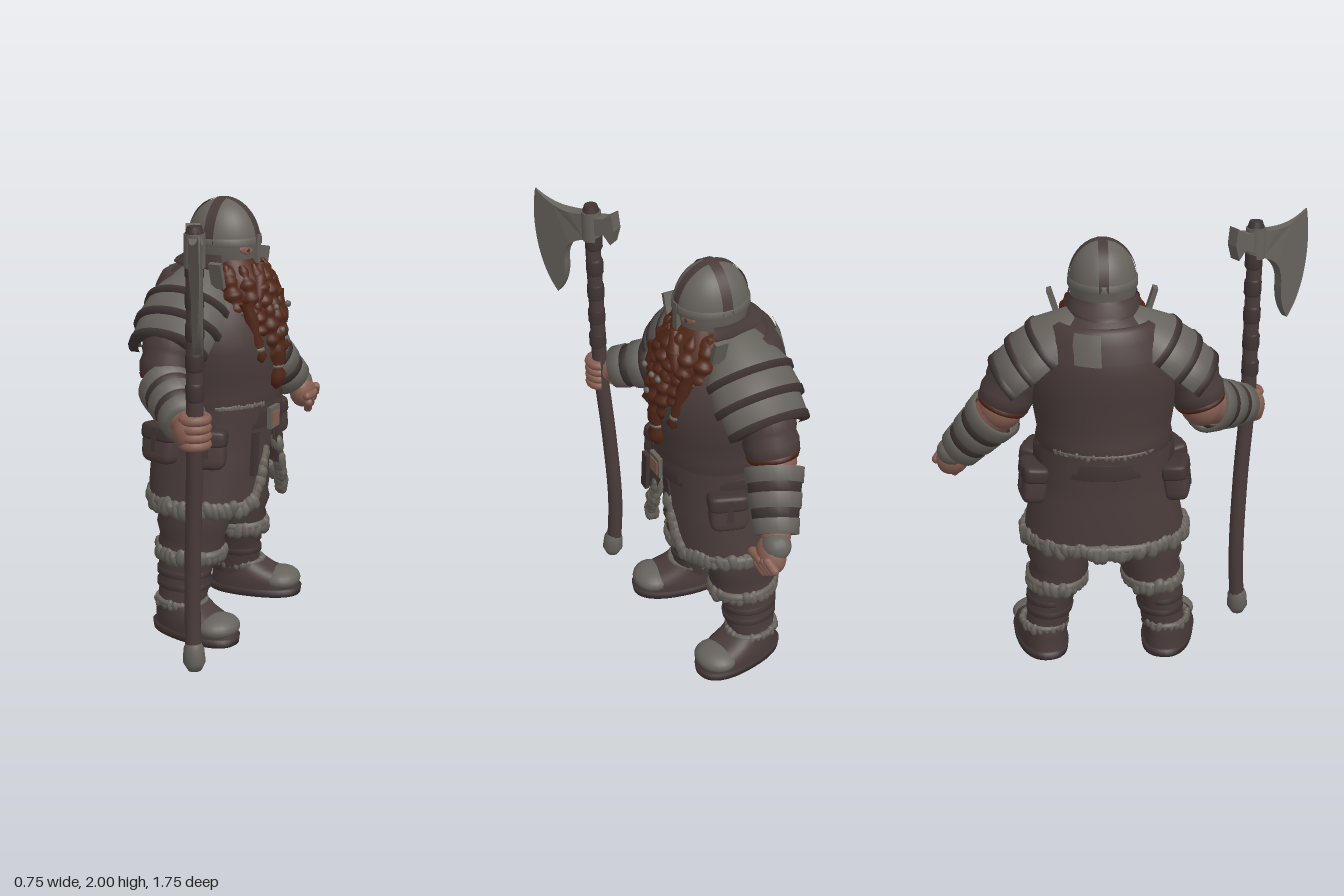
import * as THREE from 'three';
import { mergeGeometries } from 'three/addons/utils/BufferGeometryUtils.js';

const mat = (name, color) => new THREE.MeshStandardMaterial({ name, color, side: THREE.DoubleSide });
const V = (x, y, z) => new THREE.Vector3(x, y, z);
const UP = V(0, 1, 0);

export function createModel() {
  const leather = mat('leather', 0x493c3a), dark = mat('dark leather', 0x403434);
  const metal = mat('metal', 0x66625c), fur = mat('fur', 0x67625a);
  const red = mat('red hair', 0x502718), skin = mat('skin', 0x865e52);

  const root = new THREE.Group();
  root.name = 'axeWarrior';
  const facing = new THREE.Group(); // the warrior looks along +x
  facing.name = 'figure';
  facing.rotation.y = Math.PI / 2;
  facing.position.z = -0.08;
  root.add(facing);

  let seed = 7;
  const rnd = () => (seed = (seed * 16807) % 2147483647) / 2147483647;
  const add = (name, geo, m, parent = facing) => {
    const mesh = new THREE.Mesh(geo, m);
    mesh.name = name;
    parent.add(mesh);
    return mesh;
  };
  const box = (name, m, x, y, z, w, h, d) => {
    const b = add(name, new THREE.BoxGeometry(w, h, d), m);
    b.position.set(x, y, z);
    return b;
  };
  const ball = (name, m, x, y, z, a, b = a, c = a) => {
    const s = add(name, new THREE.SphereGeometry(1, 20, 14), m);
    s.position.set(x, y, z);
    s.scale.set(a, b, c);
    return s;
  };
  // Skin over level elliptical rings [y, rx, rz, cx, cz, frontGap], bottom to top
  const loft = (name, m, rings, power = 1, n = 40) => {
    const pos = [], idx = [], closed = !rings.some(r => r[5]);
    const w = closed ? n : n + 1;
    const sp = v => Math.sign(v) * Math.abs(v) ** power;
    for (const [y, rx, rz, cx = 0, cz = 0, gap = 0] of rings)
      for (let j = 0; j < w; j++) {
        const a = gap + (j / n) * (Math.PI * 2 - 2 * gap);
        pos.push(cx + rx * sp(Math.sin(a)), y, cz + rz * sp(Math.cos(a)));
      }
    for (let i = 0; i + 1 < rings.length; i++)
      for (let j = 0; j < n; j++) {
        const a = i * w + j, b = i * w + (j + 1) % w;
        idx.push(a, b, a + w, b, b + w, a + w);
      }
    const g = new THREE.BufferGeometry();
    g.setAttribute('position', new THREE.Float32BufferAttribute(pos, 3));
    g.setIndex(idx);
    g.computeVertexNormals();
    return add(name, g, m);
  };
  // Turned shape along a -> b from a profile of [t, radius]
  const turned = (name, m, a, b, profile, squash = 1, start = 0, arc = Math.PI * 2) => {
    const d = b.clone().sub(a), L = d.length();
    const g = new THREE.LatheGeometry(profile.map(([t, r]) => new THREE.Vector2(r, t * L)), 24, start, arc);
    const mesh = add(name, g, m);
    mesh.position.copy(a);
    mesh.quaternion.setFromUnitVectors(UP, d.normalize());
    mesh.scale.z = squash;
    return mesh;
  };
  const band = (name, m, a, b, t0, t1, r0, r1, ...rest) =>
    turned(name, m, a, b, [[t0, r0 - 0.02], [t0, r0], [t1, r1], [t1, r1 - 0.04]], ...rest);
  // Shaggy fur: a roll covered in drooping clumps
  const furTrim = (name, pts, r, n, closed = true) => {
    const curve = new THREE.CatmullRomCurve3(pts, closed);
    const parts = [new THREE.TubeGeometry(curve, 48, r * 0.95, 7, closed)];
    for (let i = 0; i < n; i++) {
      const p = curve.getPointAt((i + 0.5) / n), k = r * (0.75 + rnd() * 0.4);
      const c = new THREE.SphereGeometry(1, 7, 6);
      c.scale(k * 1.2, k * 1.9, k * 1.2);
      c.rotateX((rnd() - 0.5) * 0.8).rotateZ((rnd() - 0.5) * 0.8);
      c.translate(p.x, p.y - r * (0.3 + rnd() * 0.6), p.z);
      parts.push(c);
    }
    return add(name, mergeGeometries(parts), fur);
  };
  const oval = (y, rx, rz, cx, cz, from = 0, to = Math.PI * 2, n = 16) =>
    Array.from({ length: n }, (_, i) => {
      const a = from + (to - from) * i / (to - from > 6.2 ? n : n - 1);
      return V(cx + rx * Math.sin(a), y, cz + rz * Math.cos(a));
    });

  // Torso with a slightly flared jacket hem
  loft('torso', leather, [[0.95, 0.29, 0.27, 0, -0.06], [1.08, 0.295, 0.275, 0, -0.06], [1.085, 0.312, 0.288, 0, -0.06],
    [1.13, 0.303, 0.28, 0, -0.058], [1.22, 0.318, 0.285, 0, -0.05],
    [1.34, 0.345, 0.295, 0, -0.05], [1.46, 0.34, 0.29, 0, -0.065], [1.55, 0.3, 0.255, 0, -0.08],
    [1.62, 0.24, 0.21, 0, -0.1], [1.69, 0.15, 0.15, 0, -0.08], [1.75, 0.1, 0.1, 0, -0.04]]);
  for (const [from, to] of [[-1.1, -0.25], [2.3, 3.9]])
    furTrim('jacketHemFur', oval(1.088, 0.304, 0.28, 0, -0.06, from, to, 8), 0.009, 18, false);

  // Hood collar with a pale patch on its left rear
  const hood = [[1.52, 0.31, 0.25], [1.6, 0.275, 0.23], [1.65, 0.245, 0.205], [1.665, 0.21, 0.18], [1.64, 0.18, 0.16]];
  loft('hoodCollar', leather, hood.map(([y, rx, rz]) => [y, rx, rz, 0, -0.105, 1.2]));
  const patch = loft('hoodPatch', metal, hood.slice(0, 3).map(([y, rx, rz]) => [y, rx - 0.015, rz + 0.012, 0, 0, 2.75]));
  patch.position.z = -0.105;
  patch.rotation.y = -0.5;

  // Coat skirt and belt
  loft('coatSkirt', leather, [[0.61, 0.375, 0.285, 0, -0.065, 0.45], [0.72, 0.355, 0.285, 0, -0.065, 0.3],
    [0.85, 0.33, 0.283, 0, -0.06, 0.1], [0.92, 0.315, 0.28, 0, -0.06, 0.02], [1.08, 0.31, 0.283, 0, -0.06, 0.01]], 0.88, 48);
  furTrim('skirtHemFur', oval(0.632, 0.37, 0.284, 0, -0.065, 0.45, Math.PI * 2 - 0.45, 24), 0.024, 60, false);
  for (const s of [-1, 1])
    furTrim('skirtFrontFur', [V(s * 0.06, 0.88, 0.215), V(s * 0.11, 0.74, 0.21), V(s * 0.165, 0.62, 0.195)], 0.023, 13, false);
  loft('belt', dark, [[0.97, 0.315, 0.283, 0, -0.06], [0.975, 0.324, 0.29, 0, -0.06],
    [1.045, 0.32, 0.288, 0, -0.06], [1.05, 0.31, 0.28, 0, -0.06]]);
  box('buckle', metal, -0.02, 1.01, 0.235, 0.09, 0.1, 0.02);
  box('buckleInset', skin, -0.02, 1.005, 0.246, 0.065, 0.065, 0.008);
  for (const [x, lean] of [[-0.17, -0.1], [0.06, 0.12]]) {
    const strap = box('hangingStrap', dark, x, 0.87, 0.215, 0.045, 0.2, 0.02);
    strap.rotation.z = lean;
  }

  // Hip pouches
  for (const s of [-1, 1])
    for (const [x, z, turn] of [[0.325, -0.175, -0.2], [0.315, 0.05, 0.35]]) {
      const pouch = new THREE.Group();
      pouch.name = 'pouch';
      pouch.position.set(s * x, 0.91, z);
      pouch.rotation.set(0, -s * turn, s * 0.12);
      const rounded = (name, m, y, a, b, c) => { // ball squared off into a soft block
        const g = new THREE.SphereGeometry(1, 20, 14), p = g.attributes.position;
        for (let i = 0; i < p.count; i++) {
          const q = [p.getX(i), p.getY(i), p.getZ(i)].map(v => Math.sign(v) * Math.abs(v) ** 0.45);
          p.setXYZ(i, q[0] * a, q[1] * b, q[2] * c);
        }
        g.computeVertexNormals();
        add(name, g, m, pouch).position.y = y;
      };
      rounded('pouchSack', leather, 0, 0.056, 0.092, 0.088);
      rounded('pouchFlap', dark, 0.05, 0.062, 0.042, 0.094);
      add('pouchStrap', new THREE.BoxGeometry(0.128, 0.11, 0.025), dark, pouch).position.y = 0.02;
      facing.add(pouch);
    }

  // Legs and boots
  loft('hips', dark, [[0.57, 0.05, 0.1, 0, -0.08], [0.66, 0.2, 0.19, 0, -0.08], [0.9, 0.28, 0.24, 0, -0.07]]);
  for (const s of [-1, 1]) {
    loft('trouserLeg', leather, [[0.1, 0.1, 0.11, s * 0.28, -0.11], [0.2, 0.1, 0.12, s * 0.265, -0.1], [0.3, 0.11, 0.13, s * 0.25, -0.1],
      [0.36, 0.125, 0.145, s * 0.225, -0.09], [0.42, 0.14, 0.16, s * 0.215, -0.085], [0.45, 0.132, 0.155, s * 0.21, -0.085],
      [0.51, 0.152, 0.172, s * 0.21, -0.08], [0.55, 0.143, 0.167, s * 0.205, -0.08], [0.61, 0.158, 0.175, s * 0.2, -0.08],
      [0.8, 0.16, 0.18, s * 0.17, -0.08]], 1, 28);
    furTrim('kneeFur', oval(0.385, 0.126, 0.15, s * 0.222, -0.085), 0.023, 28);
    for (const y of [0.21, 0.27]) loft('shinStrap', dark, [[y, 0.1, 0.12, s * 0.262, -0.1],
      [y + 0.004, 0.108, 0.13, s * 0.262, -0.1], [y + 0.03, 0.11, 0.132, s * 0.258, -0.1], [y + 0.034, 0.1, 0.12, s * 0.258, -0.1]]);
    const boot = [
      loft('bootSole', dark, [[0, 0.001, 0.001], [0, 0.118, 0.228], [0.035, 0.122, 0.233], [0.035, 0.1, 0.2]], 0.85),
      loft('bootUpper', leather, [[0.03, 0.112, 0.218], [0.07, 0.115, 0.215], [0.1, 0.11, 0.195, 0, -0.02],
        [0.125, 0.105, 0.16, 0, -0.055], [0.16, 0.103, 0.125, 0, -0.085]], 0.9),
      ball('toeCap', metal, 0, 0.072, 0.13, 0.11, 0.055, 0.095),
      furTrim('ankleFur', oval(0.155, 0.1, 0.12, 0, -0.085), 0.014, 24)];
    for (const part of boot) {
      part.position.x += s * 0.305;
      part.position.z -= 0.015;
      part.rotation.y = s * 0.2;
      if (part.name === 'toeCap') part.position.x += s * 0.026;
    }
  }

  // Shoulder armour: broad overlapping plates, each with a narrow leather rim
  const plates = [[-0.1, 0.42, 0.1, 0.168], [0.4, 0.72, 0.16, 0.17], [0.7, 1, 0.156, 0.154]];
  for (const s of [-1, 1]) {
    const a = V(s * 0.11, 1.6, -0.095), b = V(s * 0.41, 1.345, -0.095), arc = 3.2, st = -s * Math.PI / 2 - arc / 2;
    for (const [t0, t1, r0, r1] of plates) {
      band('shoulderPlate', metal, a, b, t0, t1 - 0.07, r0, r1, 1.22, st, arc);
      band('shoulderPlateRim', dark, a, b, t1 - 0.08, t1, r1 + 0.004, r1 + 0.002, 1.22, st, arc);
    }
    const guard = box('neckGuardBlade', metal, s * 0.22, 1.68, 0.05, 0.022, 0.12, 0.06);
    guard.rotation.z = -s * 0.3;
  }

  // Arms: sleeve, bare elbow, banded bracer
  const arms = [[V(0.37, 1.45, -0.09), V(0.46, 1.23, -0.09), V(0.65, 1, 0.005), 'left'],
    [V(-0.37, 1.45, -0.09), V(-0.44, 1.23, -0.09), V(-0.645, 1.135, 0.12), 'right']];
  for (const [sh, el, wr, side] of arms) {
    turned(side + 'Sleeve', leather, sh, el, [[-0.1, 0.1], [0.1, 0.125], [0.4, 0.123], [0.5, 0.116], [0.65, 0.125], [0.85, 0.118], [0.95, 0.1], [0.95, 0]]);
    band(side + 'SleeveTrim', red, sh, el, 0.87, 0.97, 0.12, 0.11);
    ball(side + 'Elbow', skin, el.x, el.y, el.z, 0.1);
    turned(side + 'Forearm', skin, el, wr, [[0, 0.095], [0.5, 0.09], [1.15, 0.06]]);
    for (let i = 0; i < 5; i++) {
      const t = 0.14 + i * 0.175, r = 0.126 - i * 0.0065, thick = i % 2 ? 0 : 0.006;
      band(side + 'BracerBand', i % 2 ? dark : metal, el, wr, t - (i % 2 ? 0 : 0.02), t + (i % 2 ? 0.16 : 0.19), r + thick, r + thick - 0.006);
    }
  }

  // Left fist with a plate over the back of the hand
  const fist = new THREE.Group();
  fist.name = 'leftFist';
  fist.position.set(0.69, 0.925, 0.05);
  fist.rotation.set(0, 0, 0.65);
  add('palm', new THREE.SphereGeometry(1, 16, 12), skin, fist).scale.set(0.075, 0.085, 0.062);
  for (let i = 0; i < 4; i++) {
    const f = add('finger', new THREE.CapsuleGeometry(0.021, 0.05, 4, 8), skin, fist);
    f.position.set(-0.052 + i * 0.035, -0.042, 0.04);
    f.rotation.x = 0.35;
  }
  const thumb = add('thumb', new THREE.CapsuleGeometry(0.021, 0.06, 4, 8), skin, fist);
  thumb.position.set(-0.03, 0.015, 0.055);
  thumb.rotation.z = 0.9;
  const handPlate = add('handPlate', new THREE.SphereGeometry(1, 16, 12), metal, fist);
  handPlate.position.set(0.03, 0.03, -0.02);
  handPlate.scale.set(0.07, 0.065, 0.065);
  facing.add(fist);

  // Right hand wrapped round the shaft
  ball('rightPalm', skin, -0.7, 1.115, 0.16, 0.062, 0.08, 0.06);
  for (let i = 0; i < 4; i++) {
    const f = add('gripFinger', new THREE.TorusGeometry(0.052, 0.022, 8, 16, 5), skin);
    f.position.set(-0.685, 1.06 + i * 0.037, 0.19);
    f.rotation.x = Math.PI / 2;
    f.rotation.z = 0.4;
  }

  // Axe: crooked shaft, grip wraps, butt cap and bearded blade
  const shaft = new THREE.CatmullRomCurve3([V(-0.66, 0.05, 0.165), V(-0.648, 0.35, 0.155), V(-0.66, 0.75, 0.17),
    V(-0.685, 1.12, 0.19), V(-0.69, 1.5, 0.195), V(-0.7, 1.97, 0.2)]);
  add('axeShaft', new THREE.TubeGeometry(shaft, 40, 0.036, 10), leather);
  turned('axeButt', metal, V(-0.665, 0.005, 0.175), V(-0.66, 0.13, 0.165), [[0, 0], [0, 0.03], [0.3, 0.05], [0.8, 0.046], [1, 0.035]]);
  for (let y = 1.25; y < 1.8; y += 0.13)
    turned('shaftWrap', dark, V(-0.69, y, 0.195), V(-0.692, y + 0.08, 0.195), [[0, 0.034], [0.15, 0.04], [0.85, 0.04], [1, 0.034]]);
  const axe = new THREE.Group();
  axe.name = 'axeHead';
  axe.position.set(-0.697, 0, 0.2);
  axe.rotation.y = -2.58;
  const o = new THREE.Shape();
  o.moveTo(0.02, 1.95);
  o.quadraticCurveTo(0.18, 1.91, 0.295, 2);
  o.bezierCurveTo(0.33, 1.84, 0.31, 1.62, 0.19, 1.5);
  o.quadraticCurveTo(0.135, 1.57, 0.142, 1.68);
  o.quadraticCurveTo(0.14, 1.79, 0.02, 1.82);
  o.closePath();
  const blade = new THREE.ExtrudeGeometry(o, { depth: 0.056, bevelEnabled: false, curveSegments: 20 });
  const bp = blade.attributes.position; // thin toward the cutting edge
  for (let i = 0; i < bp.count; i++)
    bp.setZ(i, (bp.getZ(i) - 0.028) * THREE.MathUtils.clamp(1.5 - bp.getX(i) * 4.6, 0.1, 1));
  blade.computeVertexNormals();
  add('axeBlade', blade, metal, axe);
  add('axeSocket', new THREE.CylinderGeometry(0.045, 0.045, 0.14, 16), metal, axe).position.y = 1.89;
  const poll = new THREE.Shape([[-0.02, 1.94], [-0.08, 1.95], [-0.125, 1.98], [-0.135, 1.9], [-0.115, 1.83], [-0.08, 1.87], [-0.02, 1.85]].map(p => new THREE.Vector2(...p)));
  add('axePoll', new THREE.ExtrudeGeometry(poll, { depth: 0.06, bevelEnabled: false }), metal, axe).position.z = -0.03;
  add('shaftCap', new THREE.CylinderGeometry(0.03, 0.042, 0.04, 12), dark, axe).position.y = 1.97;
  facing.add(axe);

  // Head and helmet with a face mask
  ball('head', skin, 0, 1.75, 0, 0.12, 0.15, 0.115);
  const dome = add('helmetDome', new THREE.SphereGeometry(1, 32, 16, 0, Math.PI * 2, 0, Math.PI / 2), metal);
  dome.position.set(0, 1.795, -0.03);
  dome.scale.set(0.15, 0.193, 0.168);
  for (const turn of [0, Math.PI / 2]) {
    const pivot = new THREE.Group();
    pivot.name = 'helmetCrossBand';
    pivot.position.copy(dome.position);
    pivot.scale.set(0.154, 0.196, 0.173);
    const strip = new THREE.CylinderGeometry(1, 1, 0.28, 32, 1, true, -Math.PI / 2, Math.PI);
    strip.rotateX(-Math.PI / 2).rotateY(turn);
    add('crossBand', strip, leather, pivot);
    facing.add(pivot);
  }
  loft('helmetBrow', metal, [[1.79, 0.145, 0.163, 0, -0.03], [1.79, 0.156, 0.175, 0, -0.03],
    [1.825, 0.154, 0.172, 0, -0.03], [1.825, 0.14, 0.16, 0, -0.03]]);
  loft('faceMask', metal, [[1.715, 0.136, 0.152, 0, -0.03], [1.76, 0.148, 0.16, 0, -0.03], [1.8, 0.152, 0.168, 0, -0.03]]);
  loft('neckGuard', leather, [[1.69, 0.16, 0.238, 0, -0.035, 1.2], [1.705, 0.165, 0.225, 0, -0.035, 1.2],
    [1.735, 0.155, 0.18, 0, -0.03, 1.2], [1.755, 0.153, 0.17, 0, -0.03, 1.2]]);
  box('noseGuard', metal, 0, 1.77, 0.135, 0.034, 0.13, 0.022);
  for (const s of [-1, 1]) {
    const socket = ball('eyeOpening', skin, s * 0.063, 1.772, 0.114, 0.04, 0.019, 0.008);
    socket.rotation.set(0, s * 0.42, s * 0.25);
    ball('pupil', dark, s * 0.055, 1.772, 0.119, 0.014, 0.011, 0.008);
  }

  // Beard: main mass, wavy locks, braids with beads
  loft('beardMass', red, [[1.26, 0.04, 0.03, 0, 0.21], [1.34, 0.08, 0.05, 0, 0.195], [1.45, 0.125, 0.085, 0, 0.16],
    [1.57, 0.16, 0.115, 0, 0.11], [1.66, 0.155, 0.12, 0, 0.065], [1.73, 0.12, 0.09, 0, 0.035]], 1, 32);
  for (let i = -3; i <= 3; i++) {
    const x = i * 0.053, end = 1.21 + Math.abs(i) * 0.05, z = 0.238 - i * i * 0.011;
    const lock = Array.from({ length: 25 }, (_, k) => [k / 24, (0.008 + 0.034 * Math.sin(Math.PI * k / 25)) * (1 + 0.18 * Math.sin(k * 1.1 + i * 2))]);
    turned('beardLock', red, V(x * 0.72, end, z), V(x, 1.56, z - 0.01), lock);
    turned('upperLock', red, V(x * 1.05, 1.44, z), V(x * 0.95, 1.71, z - 0.085), lock);
  }
  for (const [x, y, z] of [[-0.06, 1.53, 0.263], [0.03, 1.53, 0.275], [0.065, 1.52, 0.263], [-0.02, 1.42, 0.275]])
    ball('lockBead', metal, x, y, z, 0.016, 0.014, 0.012);
  for (const s of [-1, 1]) {
    turned('moustache', red, V(s * 0.11, 1.55, 0.2), V(s * 0.01, 1.7, 0.15), [[0, 0], [0.15, 0.022], [0.6, 0.036], [1, 0.02]]);
    ball('sideHair', red, s * 0.135, 1.63, 0.05, 0.052, 0.085, 0.06);
    turned('sideBraid', red, V(s * 0.115, 1.28, 0.225), V(s * 0.155, 1.56, 0.16), [[0, 0], [0.1, 0.03], [0.2, 0.018], [0.35, 0.03], [0.5, 0.022], [0.7, 0.036], [0.85, 0.028], [1, 0.034]]);
    ball('braidBead', metal, s * 0.124, 1.345, 0.21, 0.027, 0.016, 0.027);
  }
  turned('centreBraid', red, V(0.005, 1.13, 0.235), V(0, 1.32, 0.24), [[0, 0], [0.15, 0.032], [0.4, 0.045], [0.58, 0.025], [0.75, 0.04], [1, 0.04]]);
  ball('centreBead', metal, 0.003, 1.245, 0.238, 0.034, 0.016, 0.034);
  return root;
}
